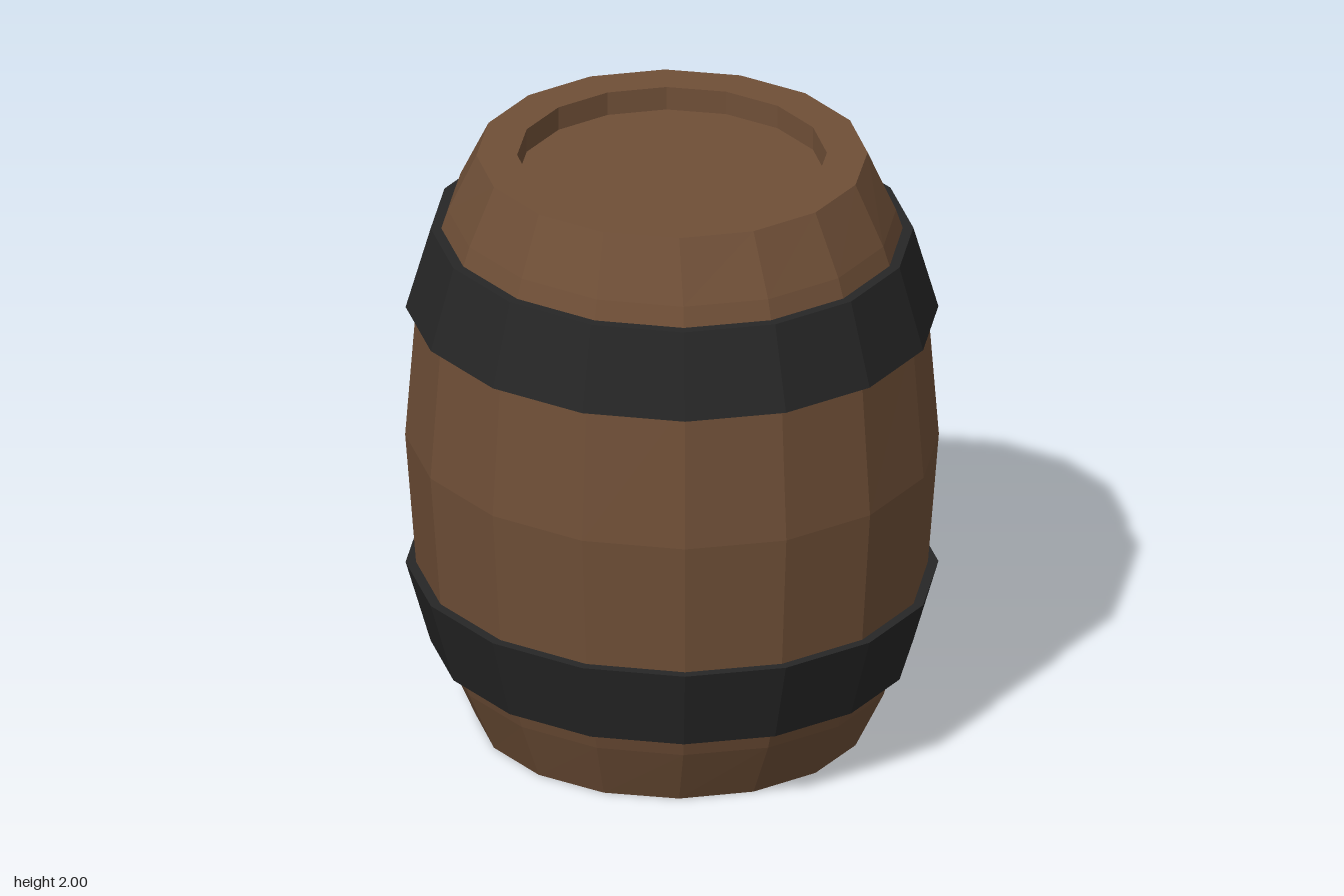
import * as THREE from 'three';

const SIDES = 16;
const TURN = THREE.MathUtils.degToRad(4.8);

// Corner j of an oval ring [y, radius in x, radius in z]
function corner([y, rx, rz], j) {
  const a = TURN + (j / SIDES) * Math.PI * 2;
  return new THREE.Vector3(rx * Math.sin(a), y, rz * Math.cos(a));
}

function flatGeometry(points) {
  const g = new THREE.BufferGeometry().setFromPoints(points);
  g.computeVertexNormals();
  return g;
}

// Skin a list of rings with flat facets
function ringSkin(rings) {
  const pts = [];
  for (let i = 0; i < rings.length - 1; i++) {
    for (let j = 0; j < SIDES; j++) {
      const a = corner(rings[i], j), b = corner(rings[i], j + 1);
      const c = corner(rings[i + 1], j + 1), d = corner(rings[i + 1], j);
      if (rings[i][1] > 0) pts.push(a, b, c);
      if (rings[i + 1][1] > 0) pts.push(a, c, d);
    }
  }
  return flatGeometry(pts);
}

// Same rings upside down, in reverse order so faces stay outward
const flip = (rings) => rings.map(([y, rx, rz]) => [2 - y, rx, rz]).reverse();

export function createModel() {
  const wood = new THREE.MeshStandardMaterial({ color: 0x6f4f37 });
  wood.name = 'brown wood';
  const iron = new THREE.MeshStandardMaterial({ color: 0x262626 });
  iron.name = 'black iron';

  const barrel = new THREE.Group();
  barrel.name = 'barrel';
  const add = (name, geometry, material) => {
    const mesh = new THREE.Mesh(geometry, material);
    mesh.name = name;
    barrel.add(mesh);
  };

  // Staves with a recessed head at each end
  const lower = [
    [0.08, 0, 0], [0.08, 0.495, 0.505], [0, 0.495, 0.505],
    [0, 0.625, 0.638], [0.2, 0.707, 0.742], [0.5, 0.804, 0.845],
  ];
  const middle = [1, 0.843, 0.883];
  add('staves', ringSkin([...lower, middle, ...flip(lower)]), wood);

  // Tapered hoops, mirrored top and bottom
  const hoop = [
    [0.265, 0.70, 0.735], [0.265, 0.763, 0.798], [0.545, 0.842, 0.881],
    [0.545, 0.78, 0.82], [0.265, 0.70, 0.735],
  ];
  add('lowerHoop', ringSkin(hoop), iron);
  add('upperHoop', ringSkin(flip(hoop)), iron);

  // Narrow dark slits lying on one stave; each row is [y, start, end] across it
  const onStave = (y, t) => {
    const low = lower[5];
    const k = (1 - Math.abs(y - 1) - low[0]) / (1 - low[0]);
    const ring = [y, 0, 0].map((v, n) => (n ? THREE.MathUtils.lerp(low[n], middle[n], k) + 0.004 : y));
    return corner(ring, 5).lerp(corner(ring, 6), t);
  };
  const slit = ([y0, a0, b0], [y1, a1, b1]) => {
    const p = onStave(y0, a0), q = onStave(y0, b0), r = onStave(y1, b1), s = onStave(y1, a1);
    return flatGeometry([p, q, r, p, r, s]);
  };
  add('upperSlit', slit([1.1, 0.31, 0.41], [1.47, 0.3, 0.45]), iron);
  add('lowerSlit', slit([0.54, 0.3, 0.37], [0.7, 0.3, 0.4]), iron);

  return barrel;
}
